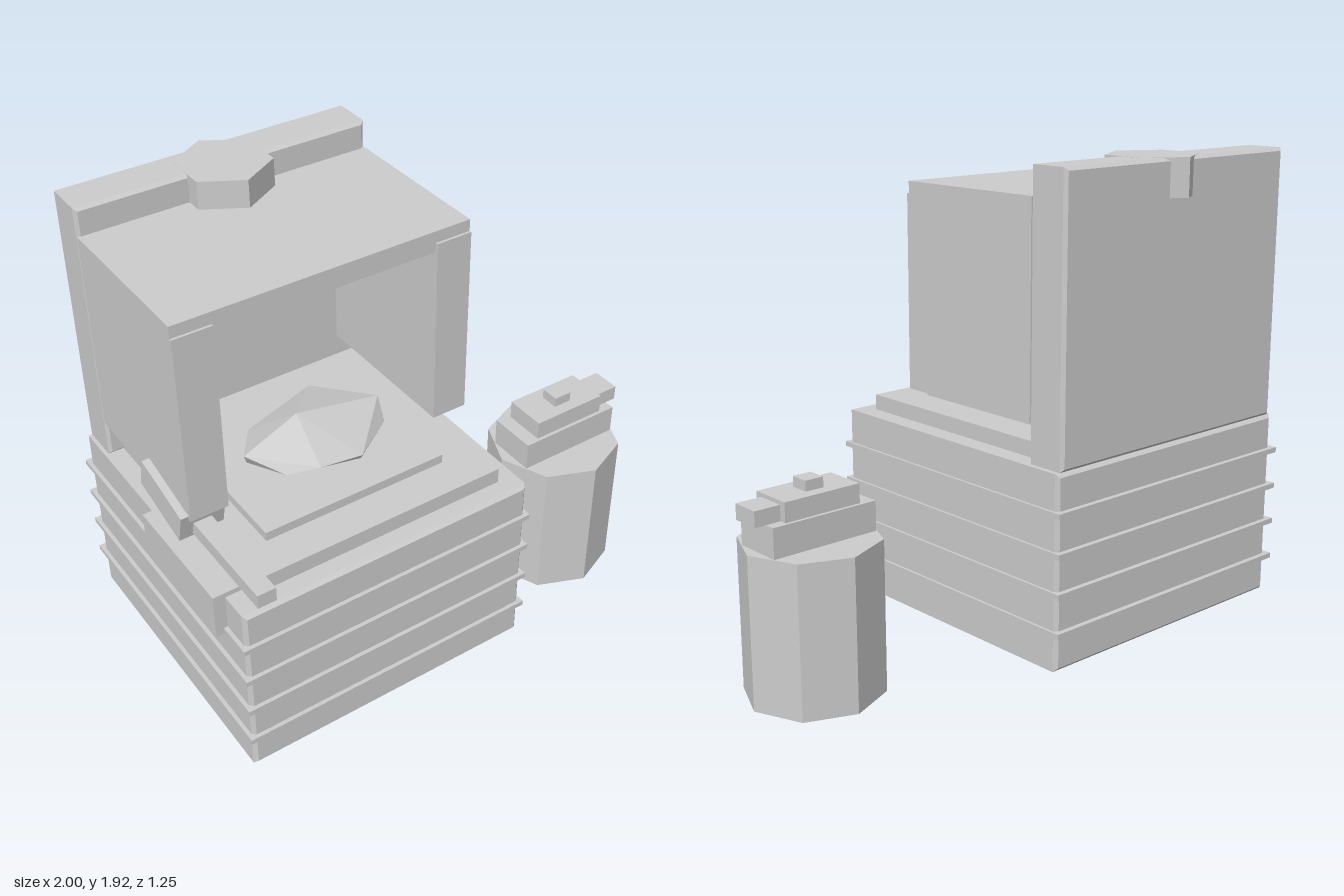
import * as THREE from 'three';
import { ConvexGeometry } from 'three/addons/geometries/ConvexGeometry.js';

export function createModel() {
  const model = new THREE.Group();
  const grey = new THREE.MeshStandardMaterial({ color: 0xcccccc, flatShading: true });
  grey.name = 'plain grey';

  function add(name, geometry) {
    const mesh = new THREE.Mesh(geometry, grey);
    mesh.name = name;
    model.add(mesh);
    return mesh;
  }

  // Box given by its limits on each axis
  function box(name, [x0, x1], [y0, y1], [z0, z1]) {
    const mesh = add(name, new THREE.BoxGeometry(x1 - x0, y1 - y0, z1 - z0));
    mesh.position.set((x0 + x1) / 2, (y0 + y1) / 2, (z0 + z1) / 2);
    return mesh;
  }

  // Box with chamfered edges
  function chamferBox(name, [x0, x1], [y0, y1], [z0, z1], c) {
    const shape = new THREE.Shape();
    shape.moveTo(x0 + c, y0 + c);
    shape.lineTo(x1 - c, y0 + c);
    shape.lineTo(x1 - c, y1 - c);
    shape.lineTo(x0 + c, y1 - c);
    shape.closePath();
    const geometry = new THREE.ExtrudeGeometry(shape, {
      depth: z1 - z0 - 2 * c, bevelEnabled: true, bevelSize: c, bevelThickness: c, bevelSegments: 1,
    });
    geometry.translate(0, 0, z0 + c);
    return add(name, geometry);
  }

  // Base with four raised bands
  chamferBox('base', [-0.955, 0.22], [0.155, 0.885], [-0.59, 0.58], 0.014);
  for (let i = 0; i < 4; i++) {
    const y = 0.3 + i * 0.147;
    box('baseBand', [-0.97, 0.23], [y - 0.01, y + 0.01], [-0.61, 0.595]);
  }

  // Stepped bed
  box('lowerBed', [-0.88, 0.145], [0.885, 0.945], [-0.43, 0.505]);
  box('upperBed', [-0.735, 0], [0.945, 0.98], [-0.37, 0.36]);

  // Back panel and open hood
  chamferBox('backPanel', [-0.94, 0.2], [0.885, 1.915], [-0.59, -0.425], 0.012);
  box('hoodRoof', [-0.94, 0.2], [1.73, 1.81], [-0.43, 0.212]);
  for (const [x0, x1] of [[-0.94, -0.795], [0.06, 0.2]]) {
    box('hoodWall', [x0, x1], [1.033, 1.73], [-0.43, 0.212]);
    box('frontPost', [x0, x1], [1.033, 1.765], [0.212, 0.222]);
  }

  // Six-sided crest let into the back panel
  const crest = add('crest', new THREE.CylinderGeometry(0.175, 0.175, 0.14, 6));
  crest.position.set(-0.37, 1.846, -0.45);

  // Faceted lump lying on the bed
  const lump = [
    [-0.6, 0.98, 0.0], [-0.52, 0.98, 0.14], [-0.25, 0.98, 0.21], [-0.06, 0.98, 0.08],
    [-0.08, 0.98, -0.12], [-0.3, 0.98, -0.22], [-0.5, 0.98, -0.16],
    [-0.62, 1.03, 0.02], [-0.42, 1.015, 0.21], [-0.25, 1.0, 0.22], [-0.035, 1.04, 0.0],
    [-0.375, 1.09, -0.02], [-0.2, 1.02, -0.22],
  ];
  add('lump', new ConvexGeometry(lump.map((p) => new THREE.Vector3(...p))));

  // Side bracket, tilted lever block and projecting arm
  box('bracketSide', [-1, -0.955], [0.725, 0.904], [-0.04, 0.46]);
  box('bracketTop', [-1, -0.87], [0.88, 0.904], [-0.04, 0.46]);
  const lever = box('leverBlock', [-0.97, -0.8], [0.965, 1.085], [-0.08, 0.2]);
  lever.rotation.x = 0.25;
  box('leverArm', [-0.92, -0.85], [0.945, 1], [0.1, 0.62]);

  // Separate eight-sided bottle with stepped cap and nozzle
  const bottle = add('bottleBody', new THREE.CylinderGeometry(0.265, 0.265, 0.59, 8));
  bottle.position.set(0.735, 0.295, 0.138);
  box('bottleShoulder', [0.515, 0.955], [0.59, 0.705], [0.038, 0.238]);
  box('bottleCap', [0.575, 0.895], [0.705, 0.78], [0.052, 0.224]);
  box('bottleNozzle', [0.895, 1], [0.705, 0.765], [0.08, 0.196]);
  box('bottleKnob', [0.697, 0.773], [0.78, 0.82], [0.1, 0.176]);

  return model;
}
